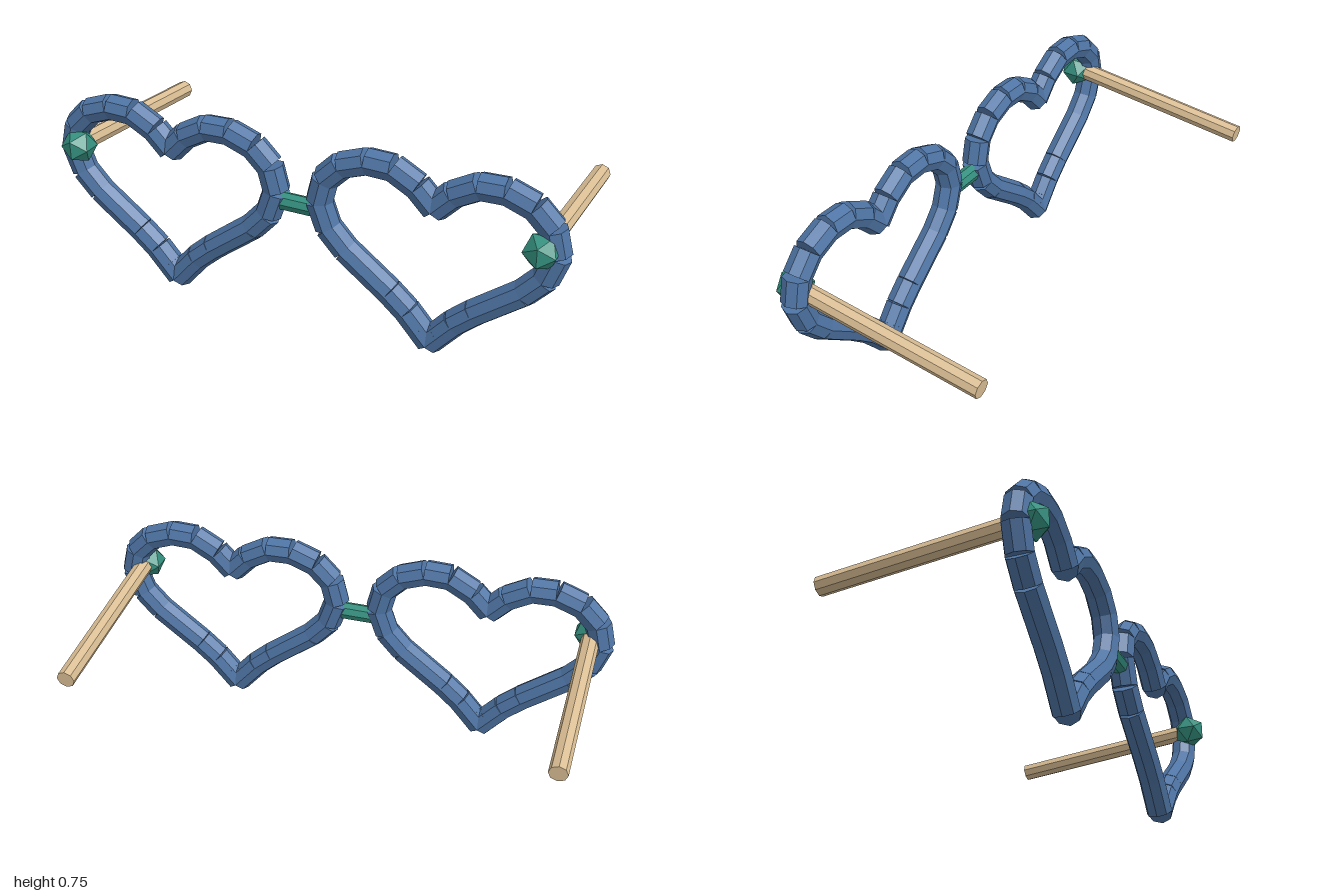
import * as THREE from 'three';

const blue = new THREE.MeshStandardMaterial({ color: 0x4f75a5, flatShading: true });
const teal = new THREE.MeshStandardMaterial({ color: 0x35907f, flatShading: true });
const tan = new THREE.MeshStandardMaterial({ color: 0xdcc096, flatShading: true });

const FRAME_Z = 0.318;

// Eight-sided rod between two points
function rod(name, a, b, radius, material) {
  const dir = b.clone().sub(a);
  const mesh = new THREE.Mesh(new THREE.CylinderGeometry(radius, radius, dir.length(), 8), material);
  mesh.name = name;
  mesh.position.copy(a).add(b).multiplyScalar(0.5);
  mesh.quaternion.setFromUnitVectors(new THREE.Vector3(0, 1, 0), dir.normalize());
  return mesh;
}

// Half of a heart outline, from the top notch round to the bottom tip
const halfHeart = [
  [0, 0.582], [0.065, 0.65], [0.155, 0.7], [0.25, 0.703], [0.345, 0.668],
  [0.41, 0.602], [0.433, 0.51], [0.398, 0.41], [0.33, 0.335], [0.245, 0.27],
  [0.16, 0.205], [0.09, 0.143], [0.04, 0.085], [0, 0.038],
];

// Heart-shaped rim made of straight rod segments
function heartRim(name, cx) {
  const rim = new THREE.Group();
  rim.name = name;
  for (const side of [-1, 1]) {
    const pts = halfHeart.map(([x, y]) => new THREE.Vector3(cx + side * x, y, FRAME_Z));
    for (let i = 0; i < pts.length - 1; i++) {
      // Always run upwards so the facets keep the same alignment
      const [low, high] = pts[i].y < pts[i + 1].y ? [pts[i], pts[i + 1]] : [pts[i + 1], pts[i]];
      rim.add(rod('rimSegment', low, high, 0.051, blue));
    }
  }
  return rim;
}

export function createModel() {
  const model = new THREE.Group();
  model.name = 'heartGlasses';

  for (const [label, side] of [['left', 1], ['right', -1]]) {
    model.add(heartRim(label + 'Rim', side * 0.518));

    // Temple arm, sloping gently down to the back
    model.add(rod(label + 'Temple',
      new THREE.Vector3(side * 0.909, 0.531, FRAME_Z),
      new THREE.Vector3(side * 0.909, 0.455, -0.409), 0.035, tan));

    // Faceted gem at the hinge
    const gem = new THREE.Mesh(new THREE.IcosahedronGeometry(0.068, 0), teal);
    gem.name = label + 'Gem';
    gem.position.set(side * 0.905, 0.531, 0.355);
    model.add(gem);
  }

  // Bridge between the rims
  model.add(rod('bridge',
    new THREE.Vector3(-0.11, 0.473, FRAME_Z),
    new THREE.Vector3(0.11, 0.473, FRAME_Z), 0.034, teal));

  return model;
}
